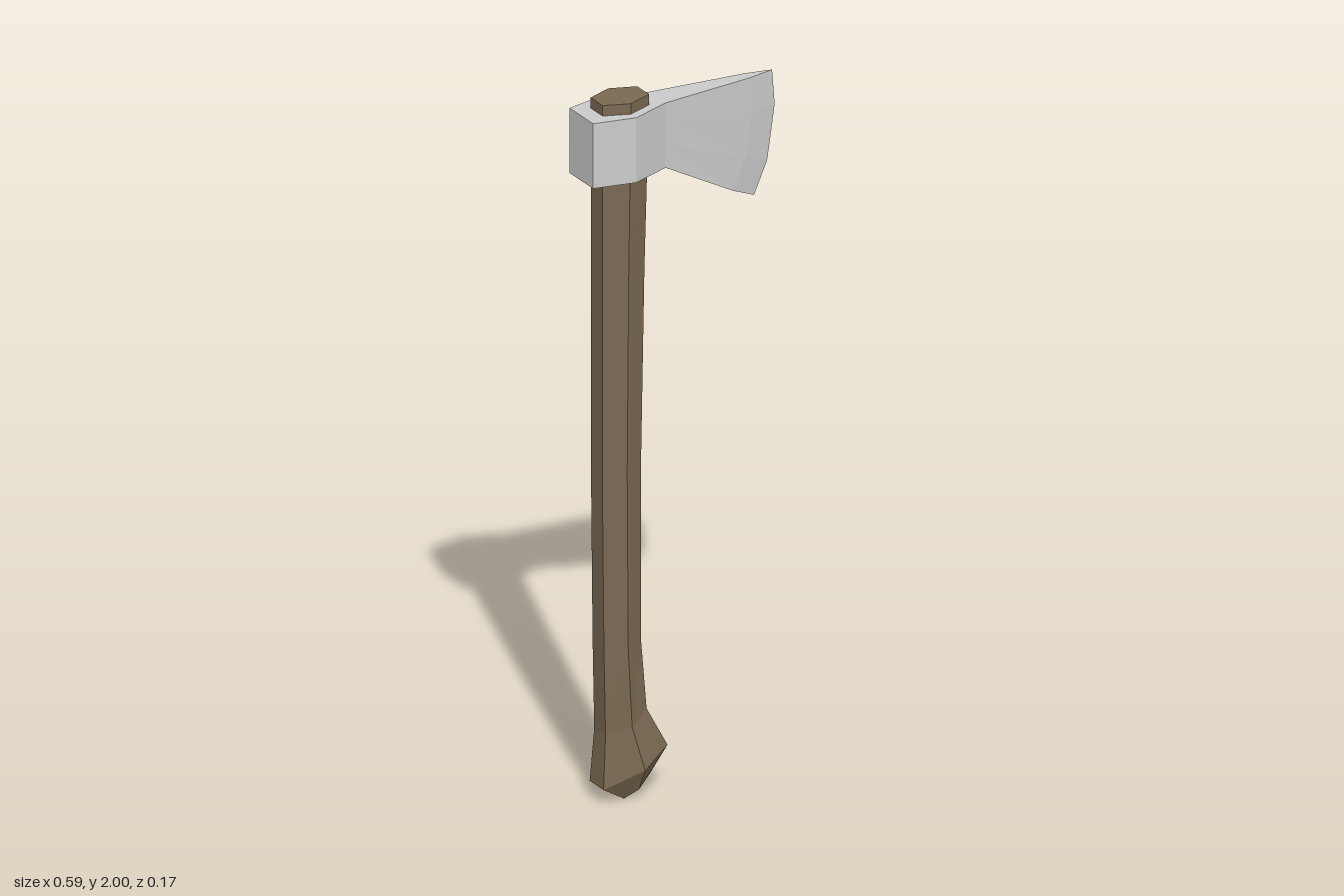
import * as THREE from 'three';

// Skin a list of equal-length closed rings; each ring runs anticlockwise seen from the last ring.
function loft(rings, name, color) {
  const pos = [];
  const tri = (a, b, c) => pos.push(...a, ...b, ...c);
  const n = rings[0].length;
  for (let r = 0; r < rings.length - 1; r++) {
    for (let i = 0; i < n; i++) {
      const j = (i + 1) % n, lo = rings[r], hi = rings[r + 1];
      tri(lo[i], lo[j], hi[j]);
      tri(lo[i], hi[j], hi[i]);
    }
  }
  // End caps
  const first = rings[0], last = rings[rings.length - 1];
  for (let i = 1; i < n - 1; i++) {
    tri(first[0], first[i + 1], first[i]);
    tri(last[0], last[i], last[i + 1]);
  }
  const geometry = new THREE.BufferGeometry();
  geometry.setAttribute('position', new THREE.Float32BufferAttribute(pos, 3));
  geometry.computeVertexNormals();
  const mesh = new THREE.Mesh(geometry, new THREE.MeshStandardMaterial({ color, flatShading: true }));
  mesh.name = name;
  return mesh;
}

// Hexagonal handle section: back edge, side corners and front edge, with half width w
function handleRing([xb, yb, xm, ym, xf, yf, w, e = w * 0.52]) {
  return [[xf, yf, e], [xf, yf, -e], [xm, ym, -w], [xb, yb, -e], [xb, yb, e], [xm, ym, w]];
}

// Upright head section: outline points from bottom to top, mirrored across z
function headRing({ z, line }) {
  const right = line.map(([x, y]) => [x, y, -z]);
  const left = line.map(([x, y]) => [x, y, z]).reverse();
  return [...right, ...left];
}

export function createModel() {
  const group = new THREE.Group();
  group.name = 'axe';

  // Curved handle with a swollen, slanted knob at the foot
  const sections = [
    [-0.18, 0.005, -0.145, 0.03, -0.1, 0.06, 0.04, 0.022],
    [-0.25, 0.05, -0.145, 0.095, -0.055, 0.135, 0.072, 0.035],
    [-0.24, 0.2, -0.175, 0.22, -0.115, 0.25, 0.055],
    [-0.245, 0.45, -0.187, 0.45, -0.132, 0.45, 0.055],
    [-0.25, 0.95, -0.19, 0.95, -0.132, 0.95, 0.055],
    [-0.25, 1.5, -0.186, 1.5, -0.122, 1.5, 0.056],
    [-0.25, 2, -0.18, 2, -0.108, 2, 0.058],
  ];
  group.add(loft(sections.map(handleRing), 'handle', 0x7a6a52));

  // Head: poll, eye, neck, bevel line and cutting edge
  const low = 1.785, top = 1.97;
  const upright = (x) => [0, 0.36, 0.7, 1].map((t) => [x, low + (top - low) * t]);
  const stations = [
    { z: 0.06, line: upright(-0.297) },
    { z: 0.085, line: upright(-0.18) },
    { z: 0.042, line: upright(-0.065) },
    { z: 0.016, line: [[0.155, 1.66], [0.194, 1.745], [0.213, 1.87], [0.21, top]] },
    { z: 0, line: [[0.23, 1.625], [0.27, 1.715], [0.293, 1.87], [0.285, top]] },
  ];
  group.add(loft(stations.map(headRing), 'axeHead', 0xcccccc));

  return group;
}
